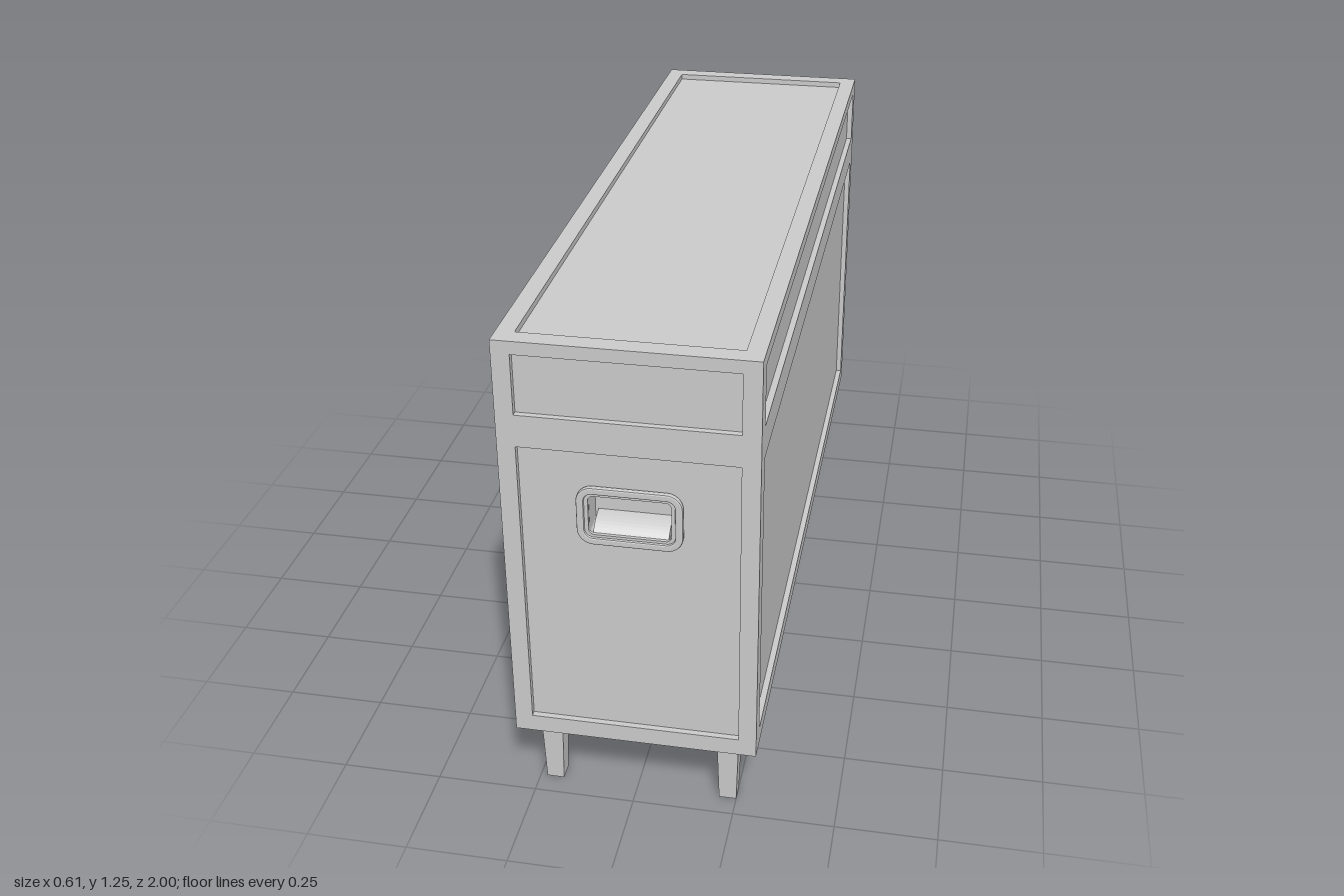
import * as THREE from 'three';

const CX = 0.0085, W = 0.593, L = 2, Y0 = 0.19, Y1 = 1.25; // case body
const D = 0.015; // depth of the panel recesses
const mat = new THREE.MeshStandardMaterial({ color: 0xcccccc });

function add(parent, name, geometry, x = 0, y = 0, z = 0) {
  const mesh = new THREE.Mesh(geometry, mat);
  mesh.name = name;
  mesh.position.set(x, y, z);
  parent.add(mesh);
  return mesh;
}

// Rectangle, optionally with rounded corners, as a Shape or a hole
function rect(w, h, cx = 0, cy = 0, r = 0, Type = THREE.Shape) {
  const s = new Type(), a = cx - w / 2, b = cx + w / 2, c = cy - h / 2, d = cy + h / 2;
  s.moveTo(a + r, c).lineTo(b - r, c);
  if (r) s.absarc(b - r, c + r, r, -Math.PI / 2, 0);
  s.lineTo(b, d - r);
  if (r) s.absarc(b - r, d - r, r, 0, Math.PI / 2);
  s.lineTo(a + r, d);
  if (r) s.absarc(a + r, d - r, r, Math.PI / 2, Math.PI);
  s.lineTo(a, c + r);
  if (r) s.absarc(a + r, c + r, r, Math.PI, Math.PI * 1.5);
  s.closePath();
  return s;
}

function ring(w, h, r, wall, depth, bevel = 0) {
  const s = rect(w, h, 0, 0, r);
  s.holes.push(rect(w - 2 * wall, h - 2 * wall, 0, 0, Math.max(r - wall, 0.004), THREE.Path));
  return new THREE.ExtrudeGeometry(s, {
    depth, curveSegments: 8, bevelEnabled: bevel > 0,
    bevelSize: bevel, bevelThickness: bevel, bevelOffset: -bevel, bevelSegments: 2,
  });
}

// Recessed grip: stepped rim, pocket walls, back plate and curved scoop floor
const POCKET_W = 0.19, POCKET_H = 0.12, POCKET_D = 0.06;
function handle(x, y) {
  const g = new THREE.Group();
  g.name = 'recessedHandle';
  g.position.set(x, y, -D);
  add(g, 'handleRim', ring(0.245, 0.15, 0.038, 0.018, 0.006, 0.004), 0, 0, 0.004);
  add(g, 'handleInnerRim', ring(0.215, 0.125, 0.025, 0.012, 0.008), 0, 0, 0);
  add(g, 'pocketWalls', ring(POCKET_W + 0.012, POCKET_H + 0.004, 0.018, 0.006, POCKET_D), 0, 0, -POCKET_D);
  add(g, 'pocketBack', new THREE.ShapeGeometry(rect(POCKET_W + 0.01, POCKET_H, 0, 0, 0.018)), 0, 0, -POCKET_D + 0.001);
  const scoop = new THREE.Shape();
  scoop.moveTo(0, 0).lineTo(POCKET_D, 0).lineTo(POCKET_D, 0.036);
  scoop.quadraticCurveTo(POCKET_D * 0.35, 0.032, 0, 0.004);
  scoop.closePath();
  const geo = new THREE.ExtrudeGeometry(scoop, { depth: 0.175, bevelEnabled: false, curveSegments: 8 });
  geo.translate(0, 0, -0.0875).rotateY(Math.PI / 2);
  add(g, 'pocketScoop', geo, 0, -0.058, 0.002);
  return g;
}

// Toggle latch: backing plate, catch, wire loop and turning lever
function latch(x) {
  const g = new THREE.Group();
  g.name = 'latch';
  g.position.set(x, 1.005, 0);
  const slab = (w, h, r, depth) =>
    new THREE.ExtrudeGeometry(rect(w, h, 0, 0, r), { depth, bevelEnabled: false, curveSegments: 6 });
  add(g, 'latchUpperPlate', slab(0.058, 0.06, 0.014, 0.005), 0, 0.035, 0);
  add(g, 'latchLowerPlate', slab(0.084, 0.08, 0.03, 0.005), 0, -0.025, 0);
  add(g, 'latchCatch', slab(0.034, 0.02, 0.005, 0.013), 0, 0.045, 0.002);
  add(g, 'latchLoop', ring(0.054, 0.085, 0.016, 0.008, 0.007), 0, 0.016, 0.005);
  add(g, 'latchKnob', new THREE.CylinderGeometry(0.027, 0.031, 0.01, 20).rotateX(Math.PI / 2), 0, -0.022, 0.008);
  add(g, 'latchLever', slab(0.046, 0.012, 0.005, 0.006), 0, -0.022, 0.011);
  return g;
}

// One face of the case: frame with openings, sunken panels, handles let into them
function face(name, w, h, panels, handles = []) {
  const g = new THREE.Group();
  g.name = name;
  const frame = rect(w, h);
  for (const p of panels) {
    frame.holes.push(rect(p[0], p[1], 0, p[2], 0, THREE.Path));
    const s = rect(p[0], p[1], 0, p[2]);
    for (const [x, y] of handles) {
      if (Math.abs(y - p[2]) < p[1] / 2) {
        s.holes.push(rect(POCKET_W, POCKET_H, x, y, 0.016, THREE.Path));
      }
    }
    add(g, 'sunkenPanel', new THREE.ShapeGeometry(s), 0, 0, -D);
  }
  add(g, 'frame', new THREE.ExtrudeGeometry(frame, { depth: D, bevelEnabled: false }), 0, 0, -D);
  for (const [x, y] of handles) g.add(handle(x, y));
  return g;
}

export function createModel() {
  const model = new THREE.Group();
  model.name = 'storageCase';
  const H = Y1 - Y0, mid = (Y0 + Y1) / 2;
  const panels = (w) => [[w, 0.148, 1.144 - mid], [w, 0.755, 0.6125 - mid]];
  const handleY = 0.825 - mid;

  // Ends, each with one handle
  for (const s of [1, -1]) {
    const end = face(s > 0 ? 'frontEnd' : 'backEnd', W - 2 * D, H, panels(0.507), [[0, handleY]]);
    end.position.set(CX, mid, s * L / 2);
    end.rotation.y = s > 0 ? 0 : Math.PI;
    model.add(end);
  }

  // Long sides: plain on the left, handles and latches on the right
  const left = face('leftSide', L, H, panels(1.9));
  left.position.set(CX + W / 2, mid, 0);
  left.rotation.y = Math.PI / 2;
  const right = face('rightSide', L, H, panels(1.9), [[-0.715, handleY], [0.715, handleY]]);
  right.position.set(CX - W / 2, mid, 0);
  right.rotation.y = -Math.PI / 2;
  for (const z of [-0.495, 0.49]) {
    const l = latch(z);
    l.position.y -= mid;
    right.add(l);
  }
  model.add(left, right);

  // Lid and floor
  const top = face('top', W - 2 * D, L - 2 * D, [[0.507, 1.905, 0]]);
  top.position.set(CX, Y1, 0);
  top.rotation.x = -Math.PI / 2;
  model.add(top);
  add(model, 'floor', new THREE.BoxGeometry(W - 2 * D, D, L - 2 * D), CX, Y0 + D / 2, 0);

  // Tapered square legs
  for (const sx of [1, -1]) {
    for (const sz of [1, -1]) {
      const geo = new THREE.CylinderGeometry(0.027 * Math.SQRT2, 0.0215 * Math.SQRT2, Y0, 4, 1).toNonIndexed();
      geo.rotateY(Math.PI / 4).computeVertexNormals();
      add(model, 'leg', geo, CX + sx * 0.22, Y0 / 2, sz * 0.924);
    }
  }
  return model;
}
